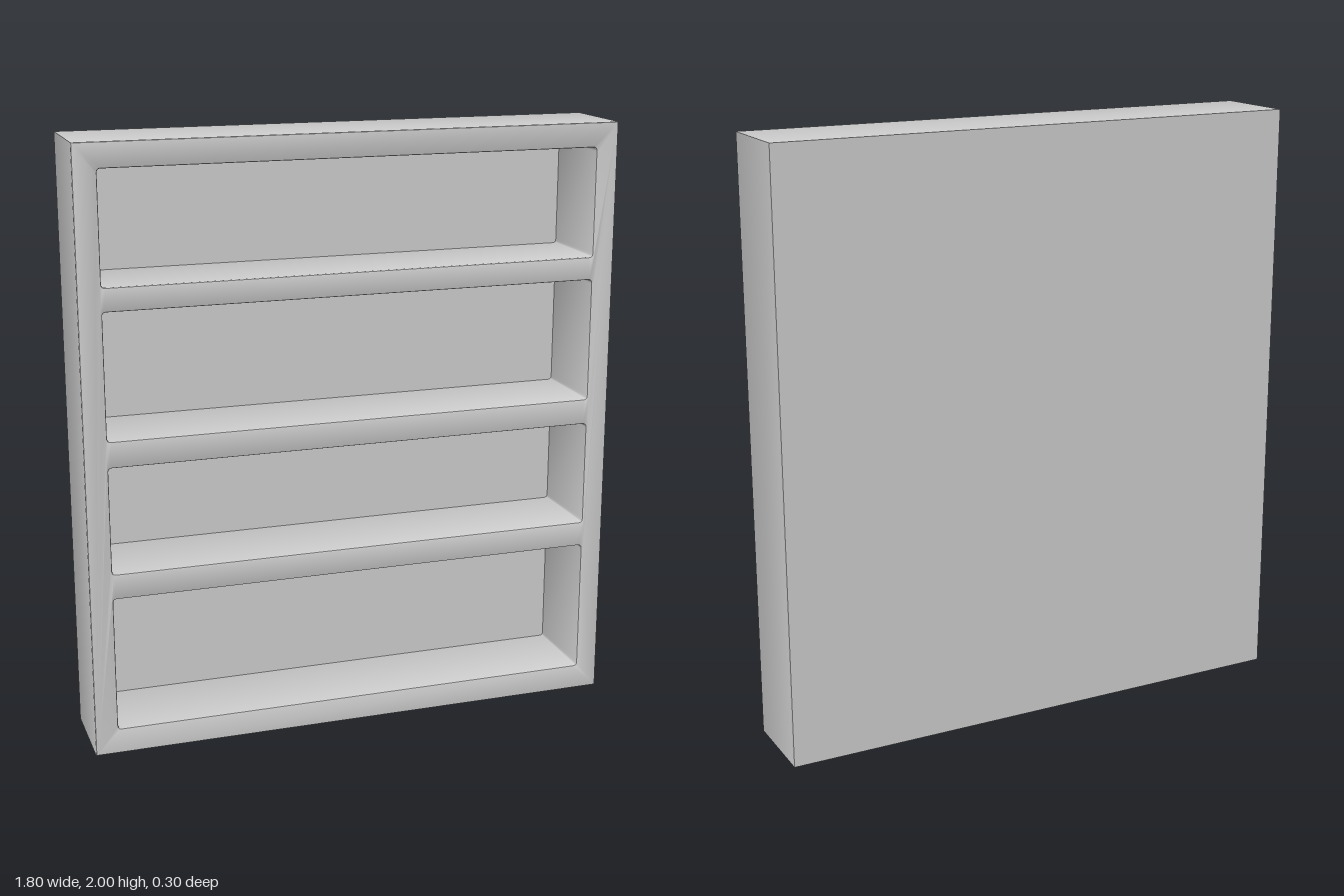
import * as THREE from 'three';
import { toCreasedNormals } from 'three/addons/utils/BufferGeometryUtils.js';

const WIDTH = 1.8, HEIGHT = 2, DEPTH = 0.3, BACK = 0.01, BEVEL = 0.006;

// Rounded rectangle traced into a Shape or Path
function roundedRect(path, x0, y0, x1, y1, r) {
  path.moveTo(x0 + r, y0);
  path.lineTo(x1 - r, y0);
  path.quadraticCurveTo(x1, y0, x1, y0 + r);
  path.lineTo(x1, y1 - r);
  path.quadraticCurveTo(x1, y1, x1 - r, y1);
  path.lineTo(x0 + r, y1);
  path.quadraticCurveTo(x0, y1, x0, y1 - r);
  path.lineTo(x0, y0 + r);
  path.quadraticCurveTo(x0, y0, x0 + r, y0);
  return path;
}

export function createModel() {
  const group = new THREE.Group();
  group.name = 'shallowShelf';
  const material = new THREE.MeshStandardMaterial({ color: 0xcccccc });

  // Frame and shelves: one slab with four openings and softened front edges
  const outline = new THREE.Shape();
  outline.moveTo(-WIDTH / 2, 0);
  outline.lineTo(WIDTH / 2, 0);
  outline.lineTo(WIDTH / 2, HEIGHT);
  outline.lineTo(-WIDTH / 2, HEIGHT);
  outline.closePath();

  // Openings as [bottom, top], measured at the front face
  const openings = [[0.08, 0.545], [0.618, 0.985], [1.06, 1.485], [1.55, 1.925]];
  for (const [bottom, top] of openings) {
    const x = 0.83 - BEVEL;
    outline.holes.push(roundedRect(new THREE.Path(), -x, bottom + BEVEL, x, top - BEVEL, 0.012));
  }

  // The rear bevel is buried in the back panel
  const back = -DEPTH / 2, bodyStart = back + BACK - BEVEL;
  const frameGeometry = new THREE.ExtrudeGeometry(outline, {
    depth: DEPTH / 2 - BEVEL - (bodyStart + BEVEL),
    bevelEnabled: true,
    bevelSize: BEVEL,
    bevelThickness: BEVEL,
    bevelOffset: -BEVEL,
    bevelSegments: 2,
    curveSegments: 4,
  });
  frameGeometry.translate(0, 0, bodyStart + BEVEL);
  const frame = new THREE.Mesh(toCreasedNormals(frameGeometry, 0.6), material);
  frame.name = 'frameAndShelves';
  group.add(frame);

  // Thin panel closing the back
  const panel = new THREE.Mesh(new THREE.BoxGeometry(WIDTH, HEIGHT, BACK), material);
  panel.name = 'backPanel';
  panel.position.set(0, HEIGHT / 2, back + BACK / 2);
  group.add(panel);

  return group;
}
